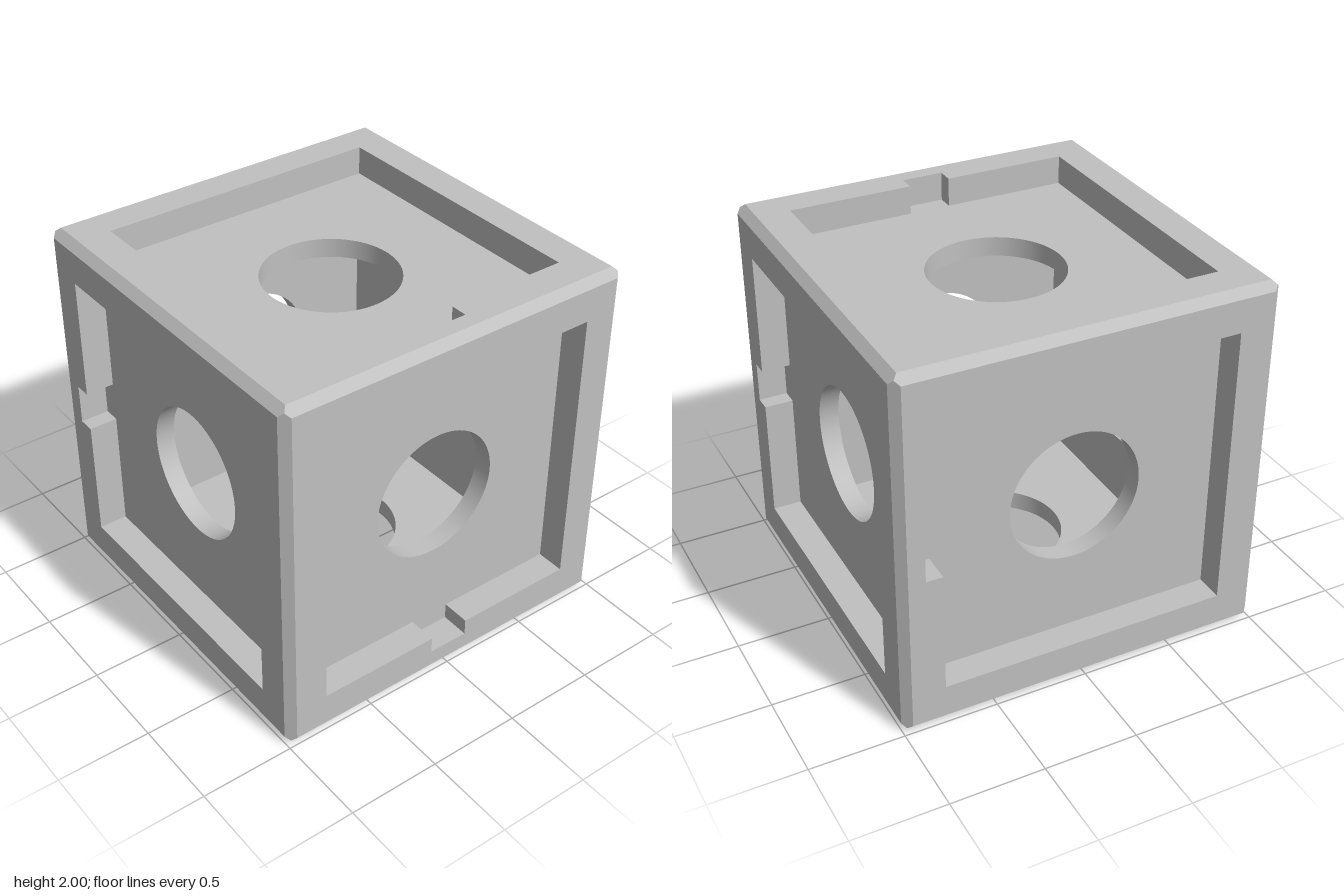
import * as THREE from 'three';

const CHAMFER = 0.0444;   // edge bevel
const RECESS = 0.7778;    // half width of the sunken panel
const PANEL_Z = 0.8444;   // distance of the sunken panel from the centre
const CAVITY = 0.74;      // half width of the hollow inside
const HOLE_R = 0.3556;    // round opening
const NOTCH_W = 0.1111;   // half width of the notch
const NOTCH_Y = 0.8667;   // outer edge of the notch
const SEGMENTS = 96;

const square = (h) => [[-h, -h], [h, -h], [h, h], [-h, h]];
const toVectors = (pts) => pts.map(([x, y]) => new THREE.Vector2(x, y));

// Square recess outline with a notch in the lower side, counter-clockwise
const recessOutline = [
  [-RECESS, -RECESS], [-NOTCH_W, -RECESS], [-NOTCH_W, -NOTCH_Y], [NOTCH_W, -NOTCH_Y],
  [NOTCH_W, -RECESS], [RECESS, -RECESS], [RECESS, RECESS], [-RECESS, RECESS],
];

// Flat plate at height z, with an outline or a round opening cut out
function plate(outline, z, hole) {
  const shape = new THREE.Shape(toVectors(outline));
  if (hole) shape.holes.push(new THREE.Path(toVectors(hole)));
  else shape.holes.push(new THREE.Path().absarc(0, 0, HOLE_R, 0, Math.PI * 2, true));
  return new THREE.ShapeGeometry(shape, SEGMENTS / 2).translate(0, 0, z);
}

// Flat-sided band joining two closed outlines at different heights
function band(a, za, b, zb) {
  const pos = [];
  a.forEach((p, i) => {
    const j = (i + 1) % a.length;
    const p0 = [...p, za], p1 = [...a[j], za], q0 = [...b[i], zb], q1 = [...b[j], zb];
    pos.push(...p0, ...p1, ...q0, ...p1, ...q1, ...q0);
  });
  const geo = new THREE.BufferGeometry();
  geo.setAttribute('position', new THREE.Float32BufferAttribute(pos, 3));
  geo.computeVertexNormals();
  return geo;
}

export function createModel() {
  const grey = new THREE.MeshStandardMaterial({ color: 0xc0c0c0, side: THREE.DoubleSide });
  grey.name = 'grey';

  const rimHalf = 1 - CHAMFER, mitre = 1 - CHAMFER / 2;
  const parts = {
    rim: plate(square(rimHalf), 1, recessOutline),
    // each face carries half of its bevels, mitred at the corners
    bevel: band(square(mitre), mitre, square(rimHalf), 1),
    recessWall: band(recessOutline, 1, recessOutline, PANEL_Z),
    panel: plate(recessOutline, PANEL_Z),
    bore: new THREE.LatheGeometry(
      [new THREE.Vector2(HOLE_R, PANEL_Z), new THREE.Vector2(HOLE_R, CAVITY)], SEGMENTS,
    ).rotateX(Math.PI / 2),
    // faces the hollow inside
    cavityWall: plate(square(CAVITY), 0).rotateY(Math.PI).translate(0, 0, CAVITY),
  };

  // Name, outward direction, direction of the notch
  const sides = [
    ['frontSide', [0, 0, 1], [0, -1, 0]],
    ['backSide', [0, 0, -1], [1, 0, 0]],
    ['leftSide', [1, 0, 0], [0, 0, 1]],
    ['rightSide', [-1, 0, 0], [0, 0, -1]],
    ['topSide', [0, 1, 0], [0, 0, 1]],
    ['bottomSide', [0, -1, 0], [0, 0, -1]],
  ];

  const model = new THREE.Group();
  model.name = 'hollowCube';
  for (const [name, normal, notch] of sides) {
    const side = new THREE.Group();
    side.name = name;
    for (const [part, geo] of Object.entries(parts)) {
      const mesh = new THREE.Mesh(geo, grey);
      mesh.name = part;
      side.add(mesh);
    }
    const z = new THREE.Vector3(...normal);
    const y = new THREE.Vector3(...notch).negate();
    const x = new THREE.Vector3().crossVectors(y, z);
    side.quaternion.setFromRotationMatrix(new THREE.Matrix4().makeBasis(x, y, z));
    side.position.y = 1;
    model.add(side);
  }
  return model;
}
